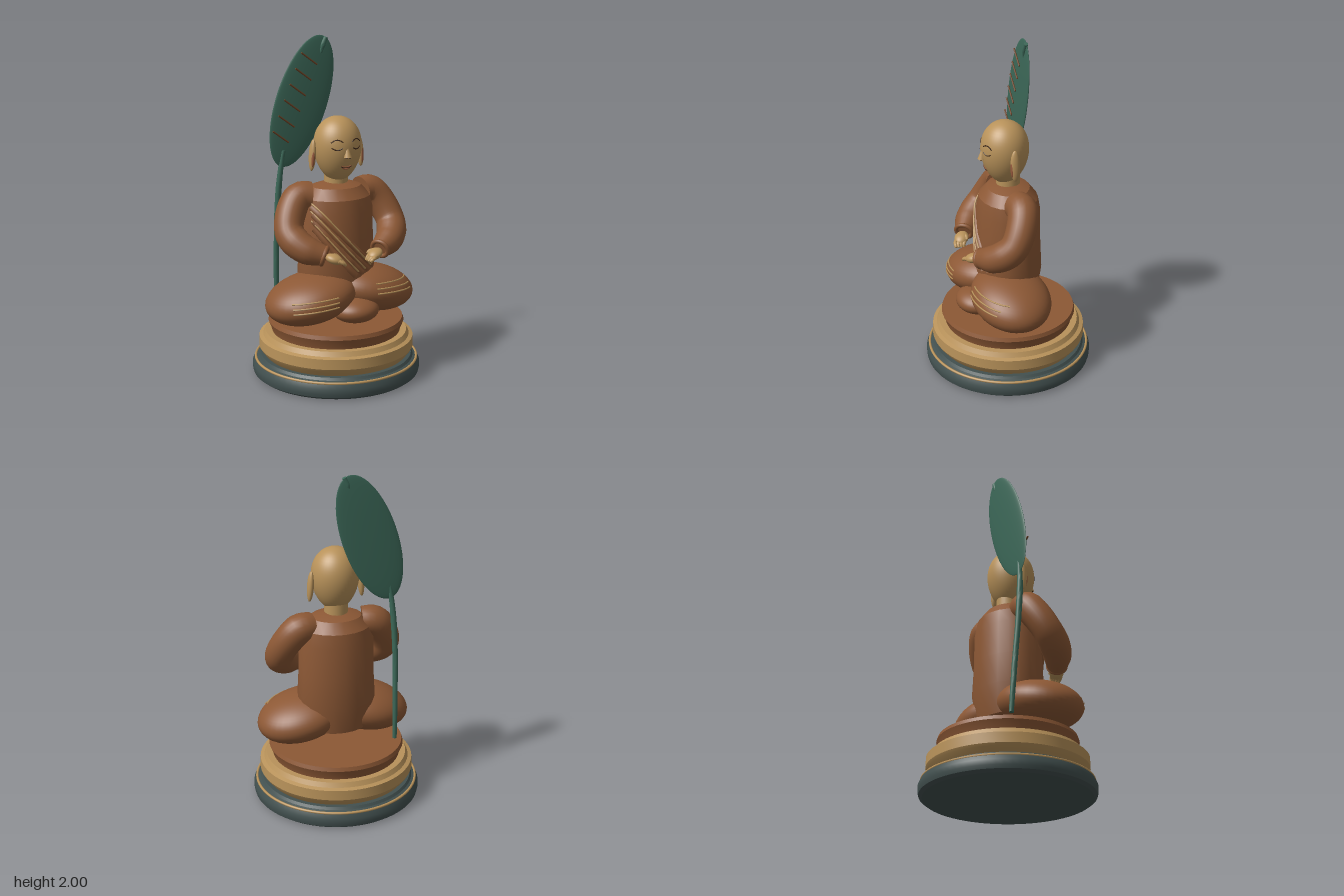
import * as THREE from 'three';
import { toCreasedNormals } from 'three/addons/utils/BufferGeometryUtils.js';

const V = (x, y, z) => new THREE.Vector3(x, y, z);
const mat = (name, color) => new THREE.MeshStandardMaterial({ name, color });

export function createModel() {
  const root = new THREE.Group();
  root.name = 'seatedFigure';
  const gold = mat('gold', 0xb8925a), robe = mat('robeBrown', 0x8c5835), slate = mat('slate', 0x42504f);
  const green = mat('leafGreen', 0x3c6858), vein = mat('veinBrown', 0x6b4326);
  const dark = mat('lineBrown', 0x3e2818), lip = mat('lip', 0x96593c);

  const add = (name, geo, m, parent = root) => {
    const mesh = new THREE.Mesh(geo, m);
    mesh.name = name;
    parent.add(mesh);
    return mesh;
  };
  const lathe = (pts, seg = 64, crease = 0.5) => toCreasedNormals(
    new THREE.LatheGeometry(pts.map(p => new THREE.Vector2(...p)), seg), crease);
  const ellipsoid = (name, m, c, r, parent = root) => {
    const e = add(name, new THREE.SphereGeometry(1, 40, 28), m, parent);
    e.position.set(...c);
    e.scale.set(...r);
    return e;
  };
  const tube = (name, pts, r, m, parent = root) => add(name,
    new THREE.TubeGeometry(new THREE.CatmullRomCurve3(pts), 24, r, 6), m, parent);

  // Closed tube with a radius that changes along the path
  const taperedTube = (pts, radii, n = 32, sides = 24) => {
    const path = new THREE.CatmullRomCurve3(pts);
    const geo = new THREE.TubeGeometry(path, n, 1, sides);
    const pos = geo.attributes.position, v = V();
    for (let i = 0; i <= n; i++) {
      const own = path.getPointAt(i / n);
      const isEnd = i === 0 || i === n;
      const centre = path.getPointAt(Math.min(n - 1, Math.max(1, i)) / n);
      const f = (i / n) * (radii.length - 1), k = Math.min(radii.length - 2, Math.floor(f));
      const r = isEnd ? 0 : THREE.MathUtils.lerp(radii[k], radii[k + 1], f - k);
      for (let j = 0; j <= sides; j++) {
        const id = i * (sides + 1) + j;
        v.fromBufferAttribute(pos, id).sub(own).multiplyScalar(r).add(centre);
        pos.setXYZ(id, v.x, v.y, v.z);
      }
    }
    return toCreasedNormals(geo, 0.8);
  };

  // Drops a line onto the front of a mesh, so thin details follow its surface
  const ray = new THREE.Raycaster();
  const lineOn = (name, target, a, b, bend, r, m, lift = 0) => {
    target.updateMatrixWorld(true);
    const pts = [];
    for (let i = 0; i <= 10; i++) {
      const t = i / 10;
      const x = a[0] + (b[0] - a[0]) * t;
      const y = a[1] + (b[1] - a[1]) * t + bend * 4 * t * (1 - t);
      ray.set(V(x, y, 5), V(0, 0, -1));
      const hit = ray.intersectObject(target, false)[0];
      if (hit) pts.push(hit.point.clone().setZ(hit.point.z + lift));
    }
    if (pts.length > 2) tube(name, pts, r, m);
  };

  // Stepped round pedestal
  add('baseTier', lathe([[0, 0], [0.475, 0], [0.495, 0.015], [0.5, 0.035], [0.5, 0.065], [0.485, 0.095],
    [0.46, 0.105], [0.45, 0.12], [0, 0.12]], 72), slate);
  const trim = add('baseTrim', new THREE.TorusGeometry(0.481, 0.008, 8, 72), gold);
  trim.rotation.x = Math.PI / 2;
  trim.position.y = 0.096;
  add('middleTier', lathe([[0, 0.11], [0.42, 0.115], [0.452, 0.155], [0.46, 0.17], [0.458, 0.23], [0.435, 0.238],
    [0.42, 0.265], [0, 0.265]], 72), gold);
  add('cushion', lathe([[0, 0.26], [0.382, 0.265], [0.385, 0.28], [0.403, 0.325], [0.395, 0.348], [0, 0.35]], 72), robe);

  // Robed torso and neck
  const torso = add('torso', lathe([[0.2, 0.45], [0.235, 0.62], [0.225, 0.8], [0.222, 1.0], [0.205, 1.08],
    [0.15, 1.14], [0.07, 1.165], [0, 1.165]], 20, 0.45), robe);
  torso.scale.z = 0.83;
  add('neck', new THREE.CylinderGeometry(0.068, 0.07, 0.14, 28), gold).position.set(0, 1.17, 0);

  // Folded sash across the chest with gold edging
  for (let k = 0; k < 4; k++) {
    lineOn('sashFold', torso, [-0.19 + k * 0.002, 1.04 - k * 0.04], [0.17 - k * 0.045, 0.67 - k * 0.012], -0.012, 0.02, robe, -0.006);
  }
  for (let k = 0; k < 3; k++) {
    lineOn('sashEdge', torso, [-0.2, 1.075 - k * 0.055], [0.15 - k * 0.05, 0.68 - k * 0.01], -0.012, 0.005, gold, 0.014);
  }

  // Crossed legs, front foot and cloth stripes
  const rightLeg = ellipsoid('rightLeg', robe, [-0.2, 0.505, 0.08], [0.275, 0.14, 0.24]);
  rightLeg.rotation.z = 0.2;
  const leftLeg = ellipsoid('leftLeg', robe, [0.2, 0.51, 0.045], [0.275, 0.14, 0.23]);
  leftLeg.rotation.set(0, 0.12, -0.2);
  ellipsoid('crossedFoot', robe, [0.03, 0.435, 0.2], [0.14, 0.075, 0.13]);
  for (let k = 0; k < 3; k++) {
    const d = k * 0.027;
    lineOn('rightLegStripe', rightLeg, [-0.385, 0.475 + d], [-0.125, 0.5 + d], 0.004, 0.005, gold);
    lineOn('leftLegStripe', leftLeg, [0.14, 0.53 + d], [0.395, 0.515 + d], 0.004, 0.005, gold);
  }

  // Sleeves and hands, mirrored
  for (const s of [1, -1]) {
    const arm = new THREE.Group();
    arm.name = s > 0 ? 'leftArm' : 'rightArm';
    root.add(arm);
    add('sleeve', taperedTube([[0.145, 1.085, 0], [0.225, 1.085, -0.015], [0.29, 1.01, 0.01], [0.325, 0.9, 0.07],
      [0.28, 0.83, 0.15], [0.17, 0.785, 0.225]].map(p => V(s * p[0], p[1], p[2])),
    [0.085, 0.09, 0.088, 0.085, 0.088, 0.08, 0.055]), robe, arm);
    const cuff = add('cuff', new THREE.TorusGeometry(0.05, 0.013, 10, 28), robe, arm);
    cuff.position.set(s * 0.178, 0.788, 0.22);
    cuff.lookAt(V(s * 0.06, 0.74, 0.3));
    const palm = ellipsoid('palm', gold, [s * 0.13, 0.772, 0.25], [0.052, 0.028, 0.042], arm);
    palm.rotation.set(0, s * 0.6, s * 0.3);
    for (let k = 0; k < 4; k++) {
      const o = k * 0.016;
      add('finger', taperedTube([V(s * (0.13 - o * 0.4), 0.768, 0.28 - o), V(s * (0.095 - o * 0.3), 0.755, 0.297 - o),
        V(s * (0.068 + Math.abs(k - 1.5) * 0.004), 0.735, 0.297 - o)], [0.012, 0.012, 0.008], 10, 10), gold, arm);
    }
    add('thumb', taperedTube([V(s * 0.14, 0.785, 0.23), V(s * 0.11, 0.785, 0.225), V(s * 0.085, 0.77, 0.23)],
      [0.014, 0.012, 0.007], 10, 10), gold, arm);
  }

  // Egg-shaped head
  const egg = [];
  for (let i = 0; i <= 28; i++) {
    const t = Math.PI * (1 - i / 28);
    egg.push([Math.max(0, 0.139 * Math.sin(t) * (1 + 0.12 * Math.cos(t))), 1.36 + 0.19 * Math.cos(t)]);
  }
  const head = add('head', new THREE.LatheGeometry(egg.map(p => new THREE.Vector2(...p)), 48), gold);
  head.position.z = 0.02;

  // Face
  const nose = add('nose', new THREE.ConeGeometry(0.024, 0.085, 16), gold);
  nose.position.set(0, 1.372, 0.152);
  nose.rotation.x = -0.12;
  for (const s of [1, -1]) {
    lineOn('closedEye', head, [s * 0.032, 1.387], [s * 0.088, 1.387], -0.012, 0.0035, dark);
    lineOn('eyebrow', head, [s * 0.028, 1.418], [s * 0.09, 1.415], 0.016, 0.0035, dark);
    ellipsoid('nostril', dark, [s * 0.01, 1.328, 0.163], [0.005, 0.004, 0.008]);
    // Long ears with a darker hollow
    const ear = ellipsoid('ear', gold, [s * 0.152, 1.33, 0.005], [0.019, 0.092, 0.028]);
    ear.rotation.z = s * 0.07;
    const hollow = ellipsoid('earHollow', lip, [s * 0.155, 1.318, 0.022], [0.011, 0.055, 0.012]);
    hollow.rotation.z = s * 0.07;
  }
  lineOn('upperLip', head, [-0.03, 1.277], [0.03, 1.277], -0.006, 0.005, lip);
  lineOn('lowerLip', head, [-0.022, 1.268], [0.022, 1.268], -0.008, 0.005, lip);
  lineOn('mouthLine', head, [-0.034, 1.276], [0.034, 1.276], -0.008, 0.0025, dark, 0.004);

  // Tall leaf fan with stalk, tip and slanted veins
  const leaf = ellipsoid('leafFan', green, [-0.165, 1.625, -0.112], [0.162, 0.395, 0.016]);
  leaf.rotation.z = -0.345;
  add('stalk', taperedTube([V(-0.31, 0.345, -0.18), V(-0.315, 0.65, -0.16), V(-0.318, 0.95, -0.135),
    V(-0.305, 1.2, -0.115), V(-0.28, 1.38, -0.106)], [0.013, 0.016, 0.016, 0.018, 0.012], 32, 12), green);
  add('leafTip', taperedTube([V(-0.05, 1.89, -0.108), V(-0.03, 1.95, -0.108), V(-0.008, 1.995, -0.108)],
    [0.008, 0.016, 0.012], 12, 12), green);
  for (let k = 0; k < 6; k++) {
    const x = -0.352 + k * 0.036, y = 1.465 + k * 0.088;
    const bar = add('leafVein', new THREE.CylinderGeometry(0.005, 0.005, 0.12, 8), vein);
    bar.position.set(x + 0.046, y - 0.034, -0.091);
    bar.rotation.z = 0.93;
  }
  return root;
}
